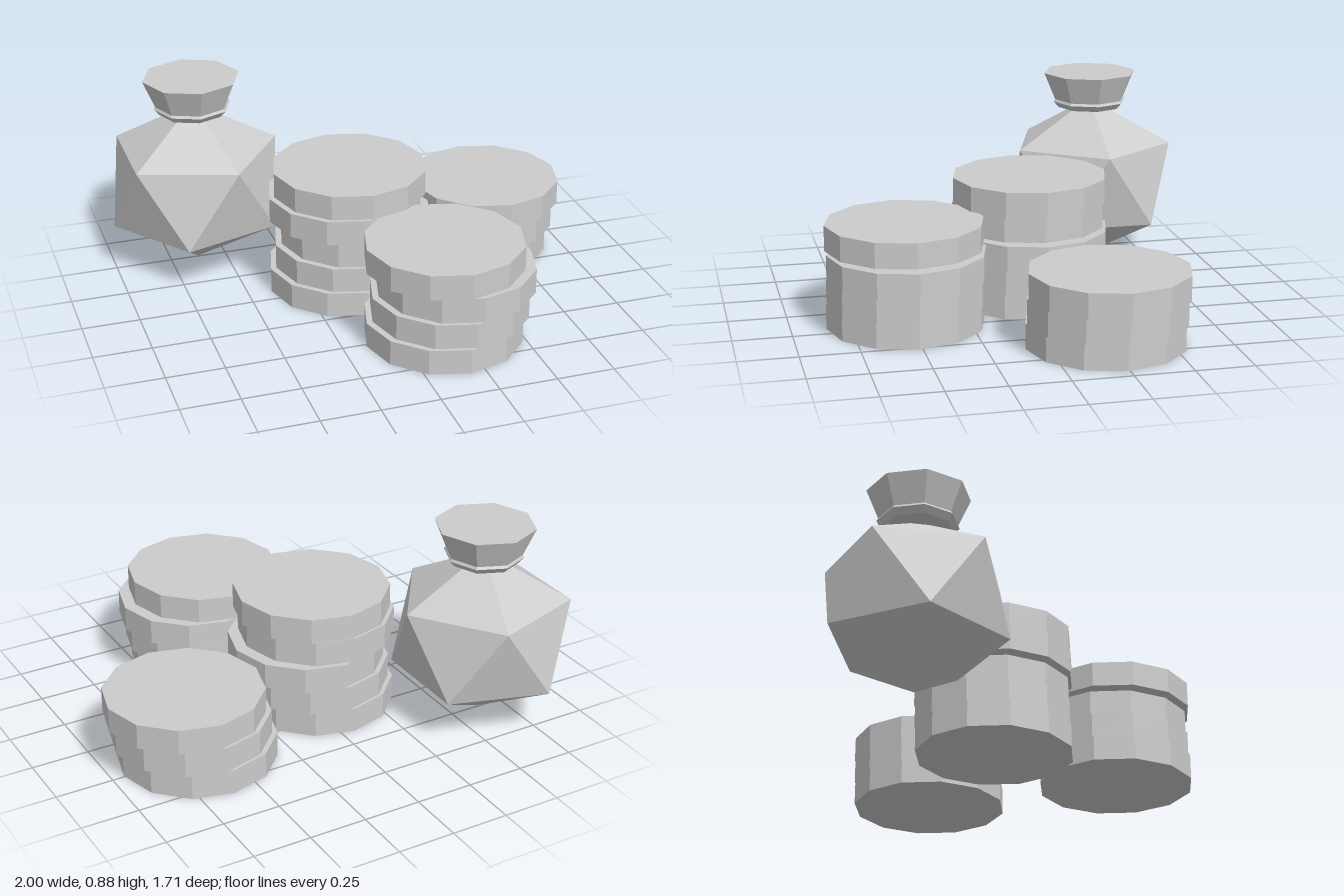
import * as THREE from 'three';
import { ConvexGeometry } from 'three/addons/geometries/ConvexGeometry.js';

// Give every face its own normal for the faceted look
function faceted(geometry) {
  const flat = geometry.index ? geometry.toNonIndexed() : geometry;
  flat.computeVertexNormals();
  return flat;
}

export function createModel() {
  const model = new THREE.Group();
  model.name = 'coinStacksAndPouch';
  const grey = new THREE.MeshStandardMaterial({ color: 0xcccccc });
  grey.name = 'light grey';

  // Coin stacks: x of every coin from the bottom up, sharing one z
  const radius = 0.337, thickness = 0.109, pitch = 0.1135;
  const coinGeometry = faceted(new THREE.CylinderGeometry(radius, radius, thickness, 12));
  const stacks = [
    { name: 'centreStack', z: -0.072, xs: [-0.06, -0.036, -0.01, -0.06, -0.038] },
    { name: 'frontStack', z: 0.515, xs: [0.187, 0.212, 0.238, 0.187] },
    { name: 'sideStack', z: -0.242, xs: [0.61, 0.637, 0.663] },
  ];
  for (const { name, z, xs } of stacks) {
    const stack = new THREE.Group();
    stack.name = name;
    xs.forEach((x, i) => {
      const coin = new THREE.Mesh(coinGeometry, grey);
      coin.name = 'coin';
      coin.position.set(x, thickness / 2 + i * pitch, z);
      stack.add(coin);
    });
    model.add(stack);
  }

  // Pouch: a widened icosahedron standing on one corner
  const pouch = new THREE.Group();
  pouch.name = 'pouch';
  pouch.position.set(-0.625, 0, -0.497);
  const corners = [new THREE.Vector3(0, 0.005, 0), new THREE.Vector3(0, 0.757, 0)];
  for (let i = 0; i < 5; i++) {
    const a = (i * Math.PI * 2) / 5;
    const x = 0.375 * Math.cos(a), z = 0.375 * Math.sin(a);
    corners.push(new THREE.Vector3(x, 0.55, z), new THREE.Vector3(-x, 0.212, z));
  }
  const body = new THREE.Mesh(faceted(new ConvexGeometry(corners)), grey);
  body.name = 'pouchBody';

  // Tied collar and flared mouth
  const profile = [[0, 0.72], [0.147, 0.72], [0.17, 0.747], [0.163, 0.758], [0.215, 0.882], [0, 0.882]]
    .map(([r, y]) => new THREE.Vector2(r, y));
  const neck = new THREE.Mesh(faceted(new THREE.LatheGeometry(profile, 8)), grey);
  neck.name = 'pouchNeck';
  pouch.add(body, neck);
  model.add(pouch);

  return model;
}
